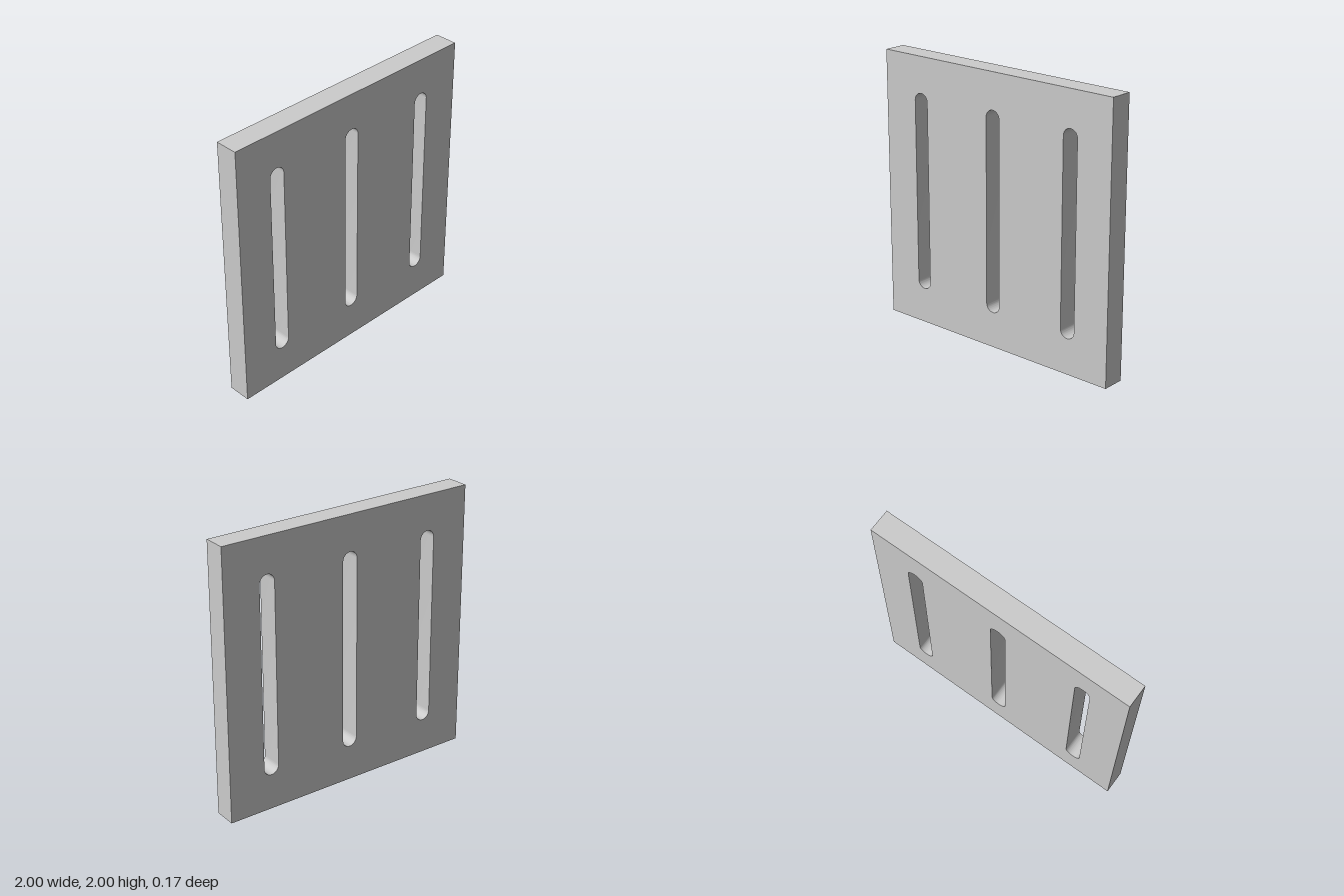
import * as THREE from 'three';
import { toCreasedNormals } from 'three/addons/utils/BufferGeometryUtils.js';

const THICKNESS = 0.167;
const SLOT_RADIUS = 0.058;
const SLOT_BOTTOM = 0.265;
const SLOT_TOP = 1.735;

// Vertical slot with round ends, centred on x
function slotPath(x) {
  const path = new THREE.Path();
  path.absarc(x, SLOT_TOP - SLOT_RADIUS, SLOT_RADIUS, 0, Math.PI);
  path.absarc(x, SLOT_BOTTOM + SLOT_RADIUS, SLOT_RADIUS, Math.PI, Math.PI * 2);
  path.closePath();
  return path;
}

export function createModel() {
  const group = new THREE.Group();
  group.name = 'slottedPlate';

  // Square outline with three evenly spaced slots
  const outline = new THREE.Shape([
    new THREE.Vector2(-1, 0),
    new THREE.Vector2(1, 0),
    new THREE.Vector2(1, 2),
    new THREE.Vector2(-1, 2),
  ]);
  for (const x of [-0.666, 0, 0.666]) outline.holes.push(slotPath(x));

  const geometry = new THREE.ExtrudeGeometry(outline, {
    depth: THICKNESS,
    bevelEnabled: false,
    curveSegments: 24,
  });
  geometry.translate(0, 0, -THICKNESS / 2);

  // Smooth slot ends, sharp plate edges
  const plate = new THREE.Mesh(
    toCreasedNormals(geometry, Math.PI / 6),
    new THREE.MeshStandardMaterial({ color: 0xcccccc })
  );
  plate.name = 'plate';
  group.add(plate);
  return group;
}
